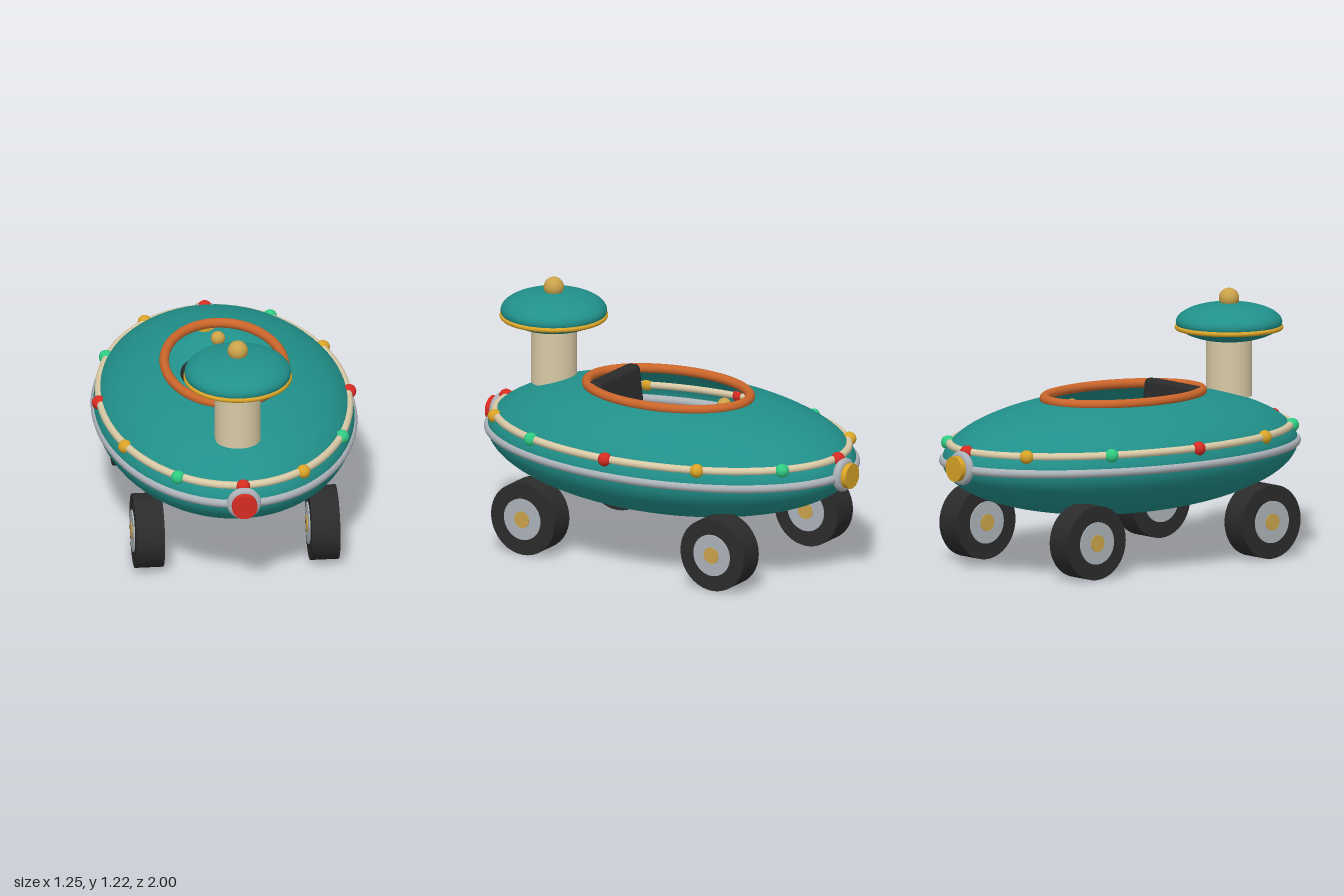
import * as THREE from 'three';
import { RoundedBoxGeometry } from 'three/addons/geometries/RoundedBoxGeometry.js';

const mat = (name, color, extra = {}) => new THREE.MeshStandardMaterial({ name, color, ...extra });

export function createModel() {
  const root = new THREE.Group();
  root.name = 'saucerCar';
  const teal = mat('teal', 0x21908a, { side: THREE.DoubleSide });
  const orange = mat('orange', 0xcb662b);
  const cream = mat('cream', 0xd9caa6);
  const silver = mat('silver', 0xabb2b8);
  const brass = mat('brass', 0xcaa24a);
  const amber = mat('amber', 0xd9a428);
  const red = mat('red', 0xd62c22);
  const green = mat('green', 0x2ecb82);
  const black = mat('black', 0x2b2b2b);

  const add = (name, geo, material, x = 0, y = 0, z = 0, parent = root) => {
    const m = new THREE.Mesh(geo, material);
    m.name = name;
    m.position.set(x, y, z);
    parent.add(m);
    return m;
  };
  const ball = (r) => new THREE.SphereGeometry(r, 24, 16);

  // Horizontal tube following an ellipse
  const hoop = (rx, rz, tube) => {
    const pts = [];
    for (let i = 0; i < 64; i++) {
      const a = (i / 64) * Math.PI * 2;
      pts.push(new THREE.Vector3(rx * Math.sin(a), 0, rz * Math.cos(a)));
    }
    return new THREE.TubeGeometry(new THREE.CatmullRomCurve3(pts, true), 128, tube, 12, true);
  };

  // Hull: flattened ellipsoid, open at the cockpit, rim shifted slightly forward
  const MID = 0.51, RX = 0.61, RY = 0.285, RZ = 0.95;
  const hullGeo = new THREE.SphereGeometry(1, 72, 40, 0, Math.PI * 2, Math.asin(0.455), Math.PI - Math.asin(0.455));
  hullGeo.scale(RX, RY, RZ);
  hullGeo.computeVertexNormals();
  const p = hullGeo.attributes.position;
  for (let i = 0; i < p.count; i++) {
    const t = Math.max(0, p.getY(i) / 0.254);
    p.setZ(i, p.getZ(i) + 0.02 * t ** 4);
  }
  // Analytic ellipsoid normals keep the seam smooth
  const n = hullGeo.attributes.normal, v = new THREE.Vector3();
  for (let i = 0; i < p.count; i++) {
    v.set(p.getX(i) / RX ** 2, p.getY(i) / RY ** 2, p.getZ(i) / RZ ** 2).normalize();
    n.setXYZ(i, v.x, v.y, v.z);
  }
  add('hull', hullGeo, teal, 0, MID, 0);

  // Trim bands and cockpit rim
  add('bumperBand', hoop(0.6, 0.945, 0.021), silver, 0, MID, 0);
  add('lightBand', hoop(0.583, 0.908, 0.019), cream, 0, 0.587, 0);
  add('cockpitRim', hoop(0.281, 0.417, 0.023), orange, 0, 0.773, 0.02);

  // Twelve marker lights
  const lightMats = [red, green, amber];
  for (let i = 0; i < 12; i++) {
    const a = (i / 12) * Math.PI * 2;
    add('markerLight', ball(0.033), lightMats[i % 3], 0.59 * Math.sin(a), 0.587, -0.92 * Math.cos(a));
  }

  // Front and rear lamps
  for (const [name, s, m] of [['headLamp', 1, red], ['tailLamp', -1, amber]]) {
    const lens = new THREE.CylinderGeometry(0.06, 0.06, 0.08, 32);
    lens.rotateX(Math.PI / 2);
    add(name, lens, m, 0, 0.515, s * 0.96);
    add(name + 'Ring', new THREE.TorusGeometry(0.06, 0.021, 12, 36), silver, 0, 0.515, s * 0.952);
  }

  // Wheels
  const disc = (r, w) => new THREE.CylinderGeometry(r, r, w, 40).rotateZ(Math.PI / 2);
  for (const sx of [1, -1]) for (const sz of [1, -1]) {
    const wheel = new THREE.Group();
    wheel.name = 'wheel';
    wheel.position.set(sx * 0.413, 0.175, sz * 0.525);
    add('tyre', disc(0.175, 0.134), black, 0, 0, 0, wheel);
    add('hub', disc(0.1, 0.146), silver, 0, 0, 0, wheel);
    add('hubCap', disc(0.04, 0.154), brass, 0, 0, 0, wheel);
    root.add(wheel);
  }

  // Turret on the nose
  const turret = new THREE.Group();
  turret.name = 'turret';
  turret.position.z = 0.655;
  root.add(turret);
  add('turretPost', new THREE.CylinderGeometry(0.108, 0.108, 0.3, 40), cream, 0, 0.855, 0, turret);
  add('turretCap', new THREE.SphereGeometry(1, 48, 24).scale(0.25, 0.092, 0.25), teal, 0, 1.055, 0, turret);
  add('turretTrim', hoop(0.243, 0.243, 0.012), amber, 0, 1.03, 0, turret);
  add('turretKnob', ball(0.048), brass, 0, 1.167, 0, turret);

  // Cockpit interior
  add('floor', new THREE.BoxGeometry(0.47, 0.04, 0.72), black, 0, 0.4, 0.01);
  add('seatCushion', new RoundedBoxGeometry(0.38, 0.16, 0.32, 3, 0.03), black, 0, 0.52, 0.15);
  const back = add('seatBack', new RoundedBoxGeometry(0.37, 0.36, 0.08, 3, 0.025), black, 0, 0.622, 0.305);
  back.rotation.x = 0.12;

  // Dashboard with buttons and control stick
  add('dashboard', new THREE.CapsuleGeometry(0.06, 0.23, 8, 24).rotateZ(Math.PI / 2), black, 0, 0.565, -0.3);
  [red, green, amber].forEach((m, i) =>
    add('dashButton', ball(0.02), m, (i - 1) * 0.1, 0.63, -0.315));
  add('controlStick', new THREE.CylinderGeometry(0.012, 0.012, 0.14, 16), silver, 0, 0.67, -0.29);
  add('stickKnob', ball(0.034), brass, 0, 0.747, -0.29);

  return root;
}
